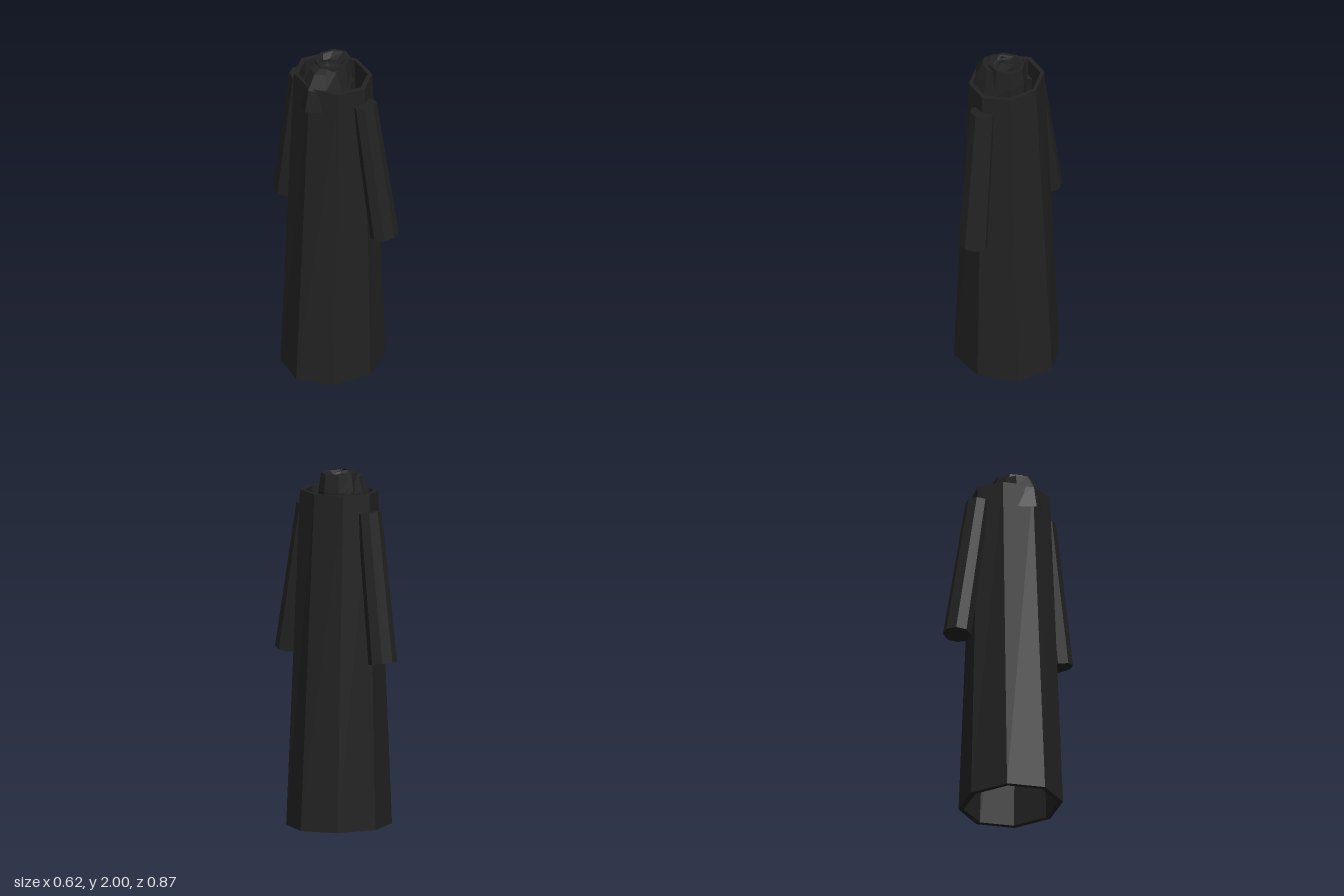
import * as THREE from 'three';

const cloth = new THREE.MeshStandardMaterial({ color: 0x222222 });
cloth.name = 'black cloth';
cloth.flatShading = true;
cloth.side = THREE.DoubleSide;

const SIDES = 8;

// Skin between point rows of equal length; closed joins each row's last point to its first.
function skin(name, rows, closed) {
  const n = rows[0].length;
  const index = [];
  for (let r = 0; r + 1 < rows.length; r++) {
    for (let i = 0; i < (closed ? n : n - 1); i++) {
      const j = (i + 1) % n;
      const a = r * n + i, b = r * n + j;
      index.push(b, a, a + n, b, a + n, b + n);
    }
  }
  const geometry = new THREE.BufferGeometry();
  geometry.setAttribute('position', new THREE.Float32BufferAttribute(rows.flat(2), 3));
  geometry.setIndex(index);
  geometry.computeVertexNormals();
  const mesh = new THREE.Mesh(geometry, cloth);
  mesh.name = name;
  return mesh;
}

// Eight-sided oval ring; slope tilts it along z.
function ring(x, y, z, rx, rz, slope = 0) {
  return Array.from({ length: SIDES }, (_, i) => {
    const a = (i / SIDES) * Math.PI * 2;
    const dz = rz * Math.sin(a);
    return [x + rx * Math.cos(a), y + slope * dz, z + dz];
  });
}

export function createModel() {
  const model = new THREE.Group();
  model.name = 'robedFigure';

  // Hollow tapering robe with a thick wall
  model.add(skin('robe', [
    ring(0, 0, 0, 0.28, 0.25),
    ring(0, 0, 0, 0.31, 0.28),
    ring(0, 1.89, 0, 0.2, 0.235),
    ring(0, 1.89, 0, 0.18, 0.205),
    ring(0, 0, 0, 0.28, 0.25),
  ], true));

  // Sleeves, flaring outward to their closed ends
  for (const s of [1, -1]) {
    const low = [0.025, 0.957, s * 0.36];
    const high = [0, 1.79, s * 0.235];
    model.add(skin(s > 0 ? 'frontSleeve' : 'backSleeve', [
      ring(...low, 0, 0),
      ring(...low, 0.085, 0.075, s * 0.18),
      ring(...high, 0.072, 0.063, s * 0.16),
      ring(...high, 0, 0),
    ], true));
  }

  // Head with a shallow dished crown
  model.add(skin('head', [
    ring(0, 1.74, 0, 0, 0),
    ring(0, 1.74, 0, 0.11, 0.1),
    ring(0, 1.89, 0, 0.12, 0.11),
    ring(0, 1.99, 0, 0.108, 0.094),
    ring(0, 1.99, 0, 0.09, 0.075),
    ring(-0.02, 1.965, 0, 0.05, 0.055),
    ring(-0.03, 1.98, 0, 0, 0),
  ], true));

  // Hood folded around the back of the head, open towards +x
  // Each row: height, back x, corner x and z, side x and z, front x and z
  const hoodRows = [
    [1.75, -0.235, -0.15, 0.125, -0.065, 0.145, 0.06, 0.105],
    [1.88, -0.21, -0.16, 0.085, -0.065, 0.115, 0.06, 0.1],
    [1.965, -0.155, -0.125, 0.06, -0.07, 0.085, -0.02, 0.085],
    [2.0, -0.06, -0.06, 0.008, -0.06, 0.01, -0.05, 0.008],
  ].map(([y, back, cx, cz, sx, sz, fx, fz]) => [
    [fx, y, -fz], [sx, y, -sz], [cx, y, -cz], [back, y, 0],
    [cx, y, cz], [sx, y, sz], [fx, y, fz],
  ].reverse());
  model.add(skin('hood', hoodRows, false));

  return model;
}
